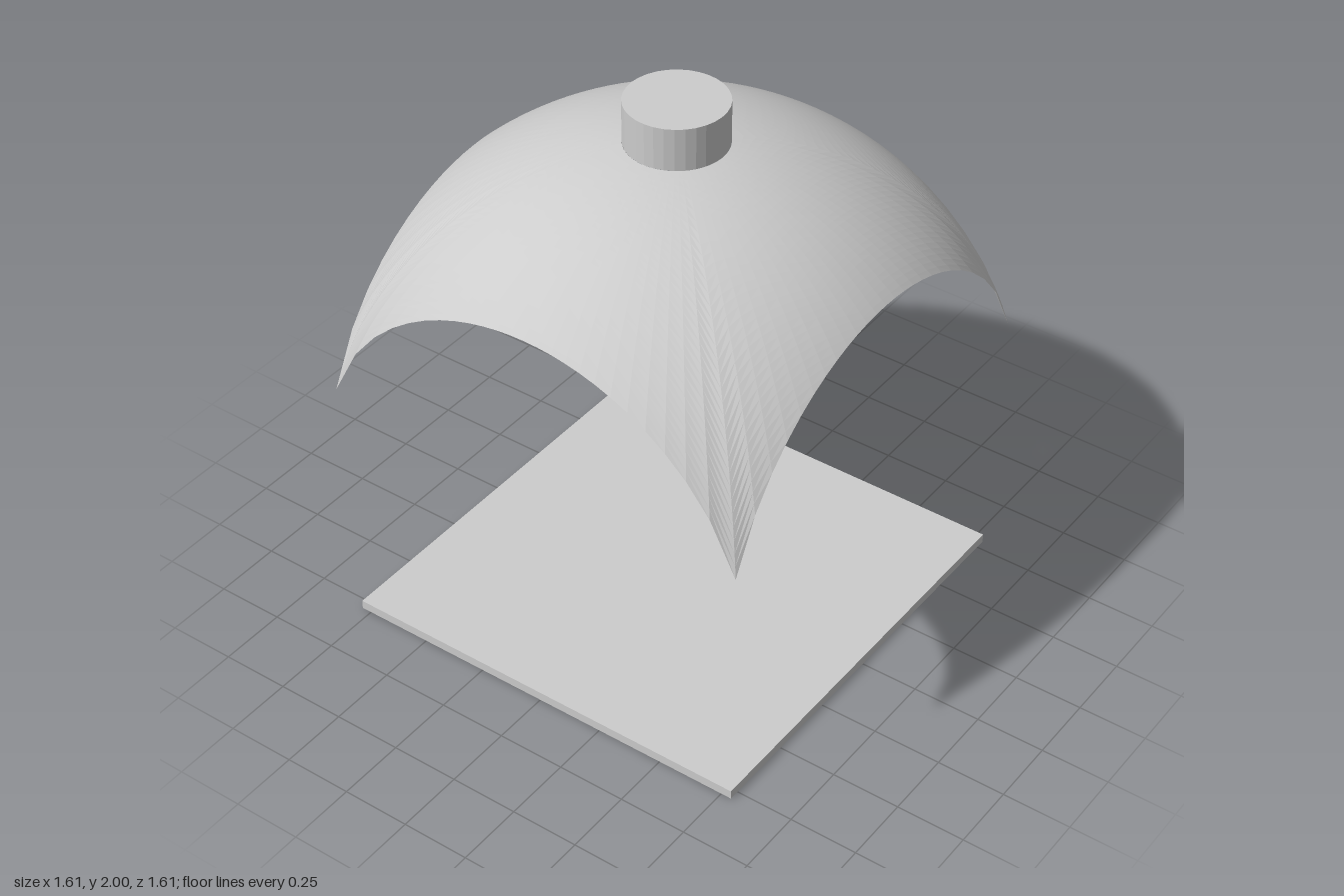
import * as THREE from 'three';

const HALF = 0.807;        // half width of the square the dome is cut to
const RADIUS = 1.18;       // sphere radius
const CENTRE_Y = 0.679;    // sphere centre height
const NECK = 0.176;        // radius of the opening under the lantern
const TOP = 2;

// Sphere trimmed by four vertical planes, open at the crown
function pendentiveDome(around, rings) {
  const pos = [], index = [];
  for (let i = 0; i <= around; i++) {
    const a = (i / around) * Math.PI * 2;
    const c = Math.cos(a), s = Math.sin(a);
    const edge = HALF / Math.max(Math.abs(c), Math.abs(s));
    const t0 = Math.asin(NECK / RADIUS), t1 = Math.asin(edge / RADIUS);
    for (let j = 0; j <= rings; j++) {
      const t = t0 + (t1 - t0) * (j / rings);
      const r = RADIUS * Math.sin(t);
      pos.push(r * c, CENTRE_Y + RADIUS * Math.cos(t), r * s);
    }
  }
  const row = rings + 1;
  for (let i = 0; i < around; i++) {
    for (let j = 0; j < rings; j++) {
      const p = i * row + j, q = p + row;
      index.push(p, q, p + 1, q, q + 1, p + 1);
    }
  }
  const geo = new THREE.BufferGeometry();
  geo.setAttribute('position', new THREE.Float32BufferAttribute(pos, 3));
  geo.setIndex(index);
  geo.computeVertexNormals();
  return geo;
}

export function createModel() {
  const group = new THREE.Group();
  const stone = new THREE.MeshStandardMaterial({ color: 0xcccccc, side: THREE.DoubleSide, flatShading: true });
  stone.name = 'pale grey';

  const add = (name, geo, y = 0, parent = group) => {
    const mesh = new THREE.Mesh(geo, stone);
    mesh.name = name;
    mesh.position.y = y;
    parent.add(mesh);
    return mesh;
  };

  // Floor slab
  add('floorSlab', new THREE.BoxGeometry(1.576, 0.033, 1.576), 0.0165);

  // Dome shell with four arched sides
  add('domeShell', pendentiveDome(96, 32));

  // Lantern: open below, closed by a flat lid
  const lantern = new THREE.Group();
  lantern.name = 'lantern';
  group.add(lantern);
  const base = CENTRE_Y + Math.sqrt(RADIUS * RADIUS - NECK * NECK);
  add('lanternWall', new THREE.CylinderGeometry(NECK, NECK, TOP - base, 32, 1, true), (TOP + base) / 2, lantern);
  // lid shares the wall's corner positions
  add('lanternLid', new THREE.CircleGeometry(NECK, 32).rotateX(-Math.PI / 2), TOP, lantern);

  return group;
}
